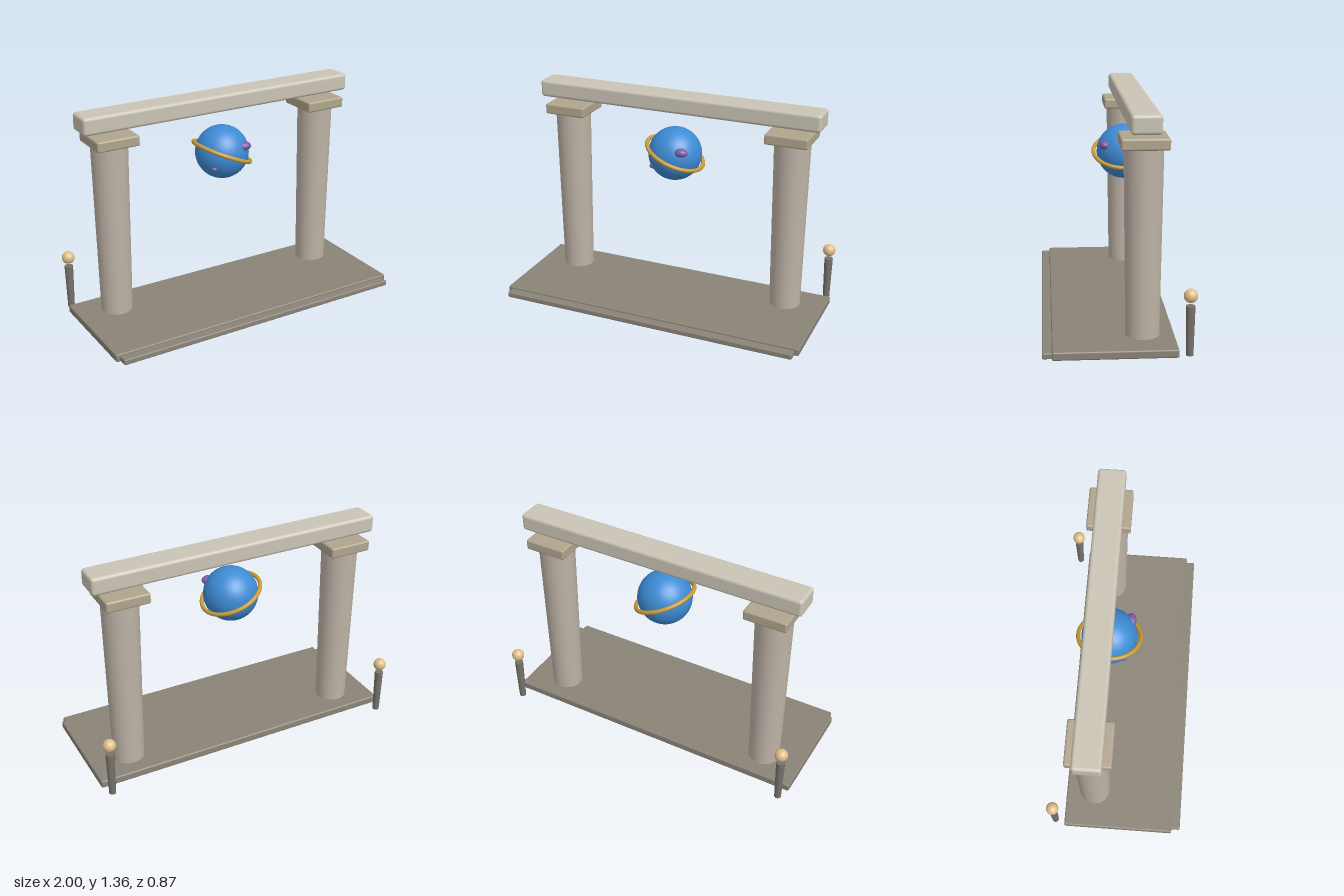
import * as THREE from 'three';
import { RoundedBoxGeometry } from 'three/addons/geometries/RoundedBoxGeometry.js';

const material = (color) => new THREE.MeshStandardMaterial({ color });

export function createModel() {
  const model = new THREE.Group();
  const stone = material(0x8a8377);
  const columnStone = material(0xbdb2a6);
  const capStone = material(0xb0a58e);
  const beamStone = material(0xcac4b5);
  const postStone = material(0x77726a);
  const lampGlow = material(0xe0bf8a);
  const blue = material(0x3d8bd4);
  const gold = material(0xc79c3c);
  const purple = material(0x7d5ba6);

  const add = (parent, name, geometry, mat, x, y, z) => {
    const mesh = new THREE.Mesh(geometry, mat);
    mesh.name = name;
    mesh.position.set(x, y, z);
    parent.add(mesh);
    return mesh;
  };
  const block = (w, h, d, r) => new RoundedBoxGeometry(w, h, d, 3, r);

  // Platform and front step
  add(model, 'platform', block(2, 0.05, 0.71, 0.01), stone, 0, 0.03, 0.02);
  add(model, 'frontStep', block(1.945, 0.036, 0.11, 0.008), stone, 0, 0.023, 0.375);

  // Columns, capitals and lamp posts on both sides
  for (const [side, label] of [[1, 'left'], [-1, 'right']]) {
    add(model, label + 'Column', new THREE.CylinderGeometry(0.113, 0.098, 1.16, 32),
      columnStone, side * 0.747, 0.58, -0.15);
    add(model, label + 'Capital', block(0.272, 0.067, 0.272, 0.012),
      capStone, side * 0.742, 1.189, -0.15);

    const lamp = new THREE.Group();
    lamp.name = label + 'Lamp';
    lamp.position.set(side * 0.957, 0, -0.397);
    add(lamp, 'lampPost', new THREE.CylinderGeometry(0.027, 0.021, 0.292, 20), postStone, 0, 0.151, 0);
    add(lamp, 'lampBall', new THREE.SphereGeometry(0.04, 24, 16), lampGlow, 0, 0.355, 0);
    model.add(lamp);
  }

  // Floating beam
  add(model, 'beam', block(1.872, 0.11, 0.172, 0.02), beamStone, 0, 1.306, -0.149);

  // Planet with tilted ring and surface spots
  const planet = new THREE.Group();
  planet.name = 'planet';
  planet.position.set(0, 0.984, -0.098);
  model.add(planet);
  add(planet, 'globe', new THREE.SphereGeometry(0.17, 40, 28), blue, 0, 0, 0);
  const ring = add(planet, 'ring', new THREE.TorusGeometry(0.19, 0.013, 12, 64).rotateX(Math.PI / 2),
    gold, 0, 0, 0);
  ring.rotation.z = -0.4;
  const spot = add(planet, 'largeSpot', new THREE.SphereGeometry(1, 24, 16), purple, 0.09, 0.056, 0.125);
  spot.scale.set(0.043, 0.028, 0.033);
  const small = add(planet, 'smallSpot', new THREE.SphereGeometry(1, 16, 12), purple, -0.11, -0.068, 0.1);
  small.scale.set(0.022, 0.016, 0.018);

  return model;
}
